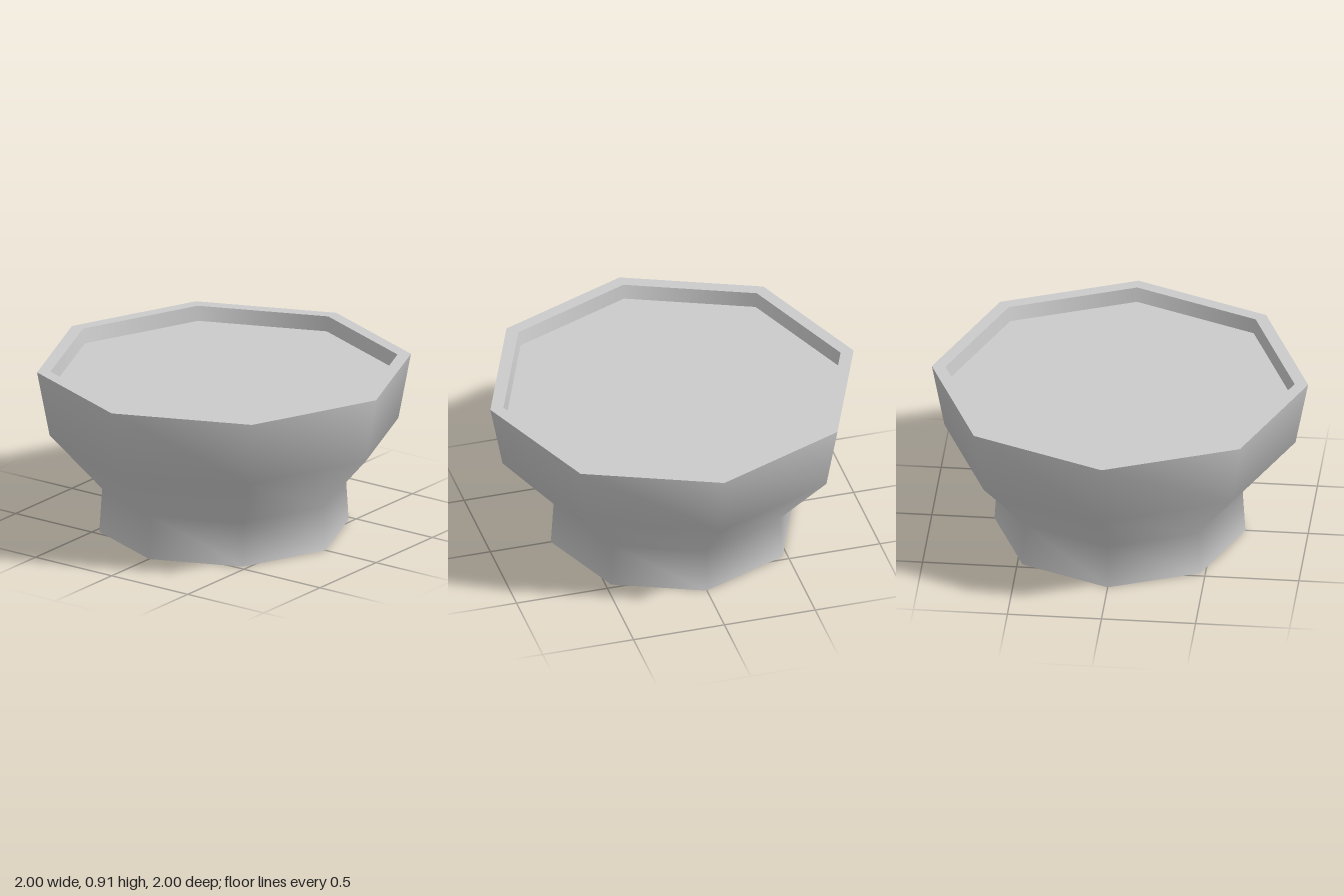
import * as THREE from 'three';

const SIDES = 8;
const material = new THREE.MeshStandardMaterial({ color: 0xcccccc, side: THREE.DoubleSide });

// Eight-sided surface swept from a [radius, height] profile
function turned(name, profile) {
  const points = profile.map(([r, y]) => new THREE.Vector2(r, y));
  const mesh = new THREE.Mesh(new THREE.LatheGeometry(points, SIDES), material);
  mesh.name = name;
  return mesh;
}

export function createModel() {
  const group = new THREE.Group();
  group.name = 'octagonalBowl';

  group.add(
    // Foot, flared shoulder and upper wall, open underneath
    turned('outerShell', [[0.667, 0], [0.652, 0.24], [0.933, 0.555], [1, 0.91]]),
    // Flat lip between outer and inner walls
    turned('rim', [[1, 0.91], [0.928, 0.91]]),
    // Tapered lining, reaching down to the shoulder
    turned('innerWall', [[0.928, 0.91], [0.87, 0.555]]),
    // Level surface just below the rim
    turned('contents', [[0.915, 0.83], [0, 0.83]]),
  );
  return group;
}
